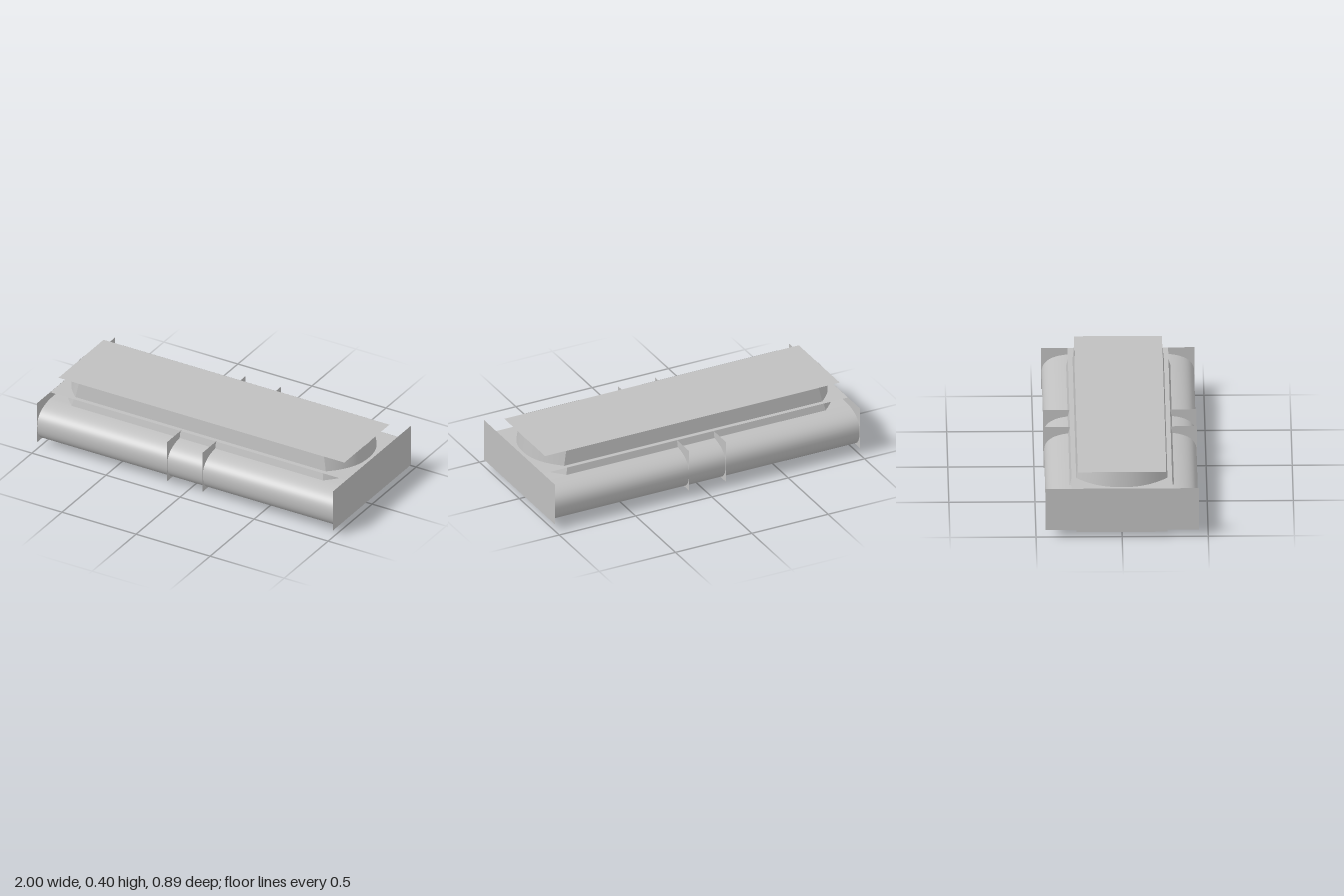
import * as THREE from 'three';
import { toCreasedNormals } from 'three/addons/utils/BufferGeometryUtils.js';

const grey = new THREE.MeshStandardMaterial({ color: 0xc0c0c0, side: THREE.DoubleSide });
grey.name = 'plain grey';

export function createModel() {
  const model = new THREE.Group();
  model.name = 'casing';

  const add = (name, geometry, x = 0, y = 0, z = 0, parent = model) => {
    const mesh = new THREE.Mesh(geometry, grey);
    mesh.name = name;
    mesh.position.set(x, y, z);
    parent.add(mesh);
    return mesh;
  };

  // Sheet of quads whose points follow rule(u, v)
  const sheet = (segments, rule) => {
    const geometry = new THREE.PlaneGeometry(1, 1, segments, 1);
    const { position, uv } = geometry.attributes;
    for (let i = 0; i < position.count; i++) {
      position.setXYZ(i, ...rule(uv.getX(i), uv.getY(i)));
    }
    geometry.computeVertexNormals();
    return geometry;
  };

  // Rounded body, extruded along x
  const profile = new THREE.Shape();
  profile.moveTo(-0.355, 0.045);
  profile.lineTo(0.355, 0.045);
  profile.bezierCurveTo(0.41, 0.045, 0.443, 0.09, 0.443, 0.155);
  profile.bezierCurveTo(0.443, 0.22, 0.39, 0.257, 0.29, 0.265);
  profile.lineTo(-0.29, 0.265);
  profile.bezierCurveTo(-0.39, 0.257, -0.443, 0.22, -0.443, 0.155);
  profile.bezierCurveTo(-0.443, 0.09, -0.41, 0.045, -0.355, 0.045);
  const body = new THREE.ExtrudeGeometry(profile, { depth: 1.996, bevelEnabled: false, curveSegments: 16 });
  body.translate(0, 0, -0.998);
  body.rotateY(Math.PI / 2);
  add('roundedBody', toCreasedNormals(body, 0.35));

  // Base block
  add('base', new THREE.BoxGeometry(1.866, 0.05, 0.53), 0, 0.025, 0);

  // End plates and the two middle fins share one rectangle
  for (const side of [-1, 1]) {
    for (const [name, x] of [['endPlate', 1], ['middleFin', 0.12]]) {
      const plate = new THREE.PlaneGeometry(0.89, 0.262);
      plate.rotateY(side * Math.PI / 2);
      add(name, plate, side * x, 0.175, 0);
    }
  }

  // Tapered collar with bowed ends, capped by a thin rectangular lid
  // low and high: [y, half flat length, half depth, end reach]
  const collar = (name, low, high, lidX, lidZ) => {
    const tier = new THREE.Group();
    tier.name = name;
    model.add(tier);
    const at = (v) => low.map((a, i) => a + (high[i] - a) * v);
    for (const turn of [0, Math.PI]) {
      const long = sheet(1, (u, v) => {
        const [y, flat, depth] = at(v);
        return [(u * 2 - 1) * flat, y, depth];
      });
      const end = sheet(24, (u, v) => {
        const [y, flat, depth, reach] = at(v);
        const t = 1 - u * 2;
        return [flat + (reach - flat) * (1 - Math.abs(t) ** 2.3), y, t * depth];
      });
      add(name + 'LongWall', long, 0, 0, 0, tier).rotation.y = turn;
      add(name + 'BowedEnd', end, 0, 0, 0, tier).rotation.y = turn;
    }
    const lid = new THREE.PlaneGeometry(lidX * 2, lidZ * 2);
    lid.rotateX(-Math.PI / 2);
    add(name + 'Lid', lid, 0, high[0], 0, tier);
  };

  collar('lowerCollar', [0.262, 0.85, 0.303, 0.998], [0.305, 0.84, 0.292, 0.99], 1, 0.292);
  collar('upperCollar', [0.305, 0.845, 0.265, 0.978], [0.395, 0.828, 0.257, 0.967], 0.965, 0.256);

  return model;
}
